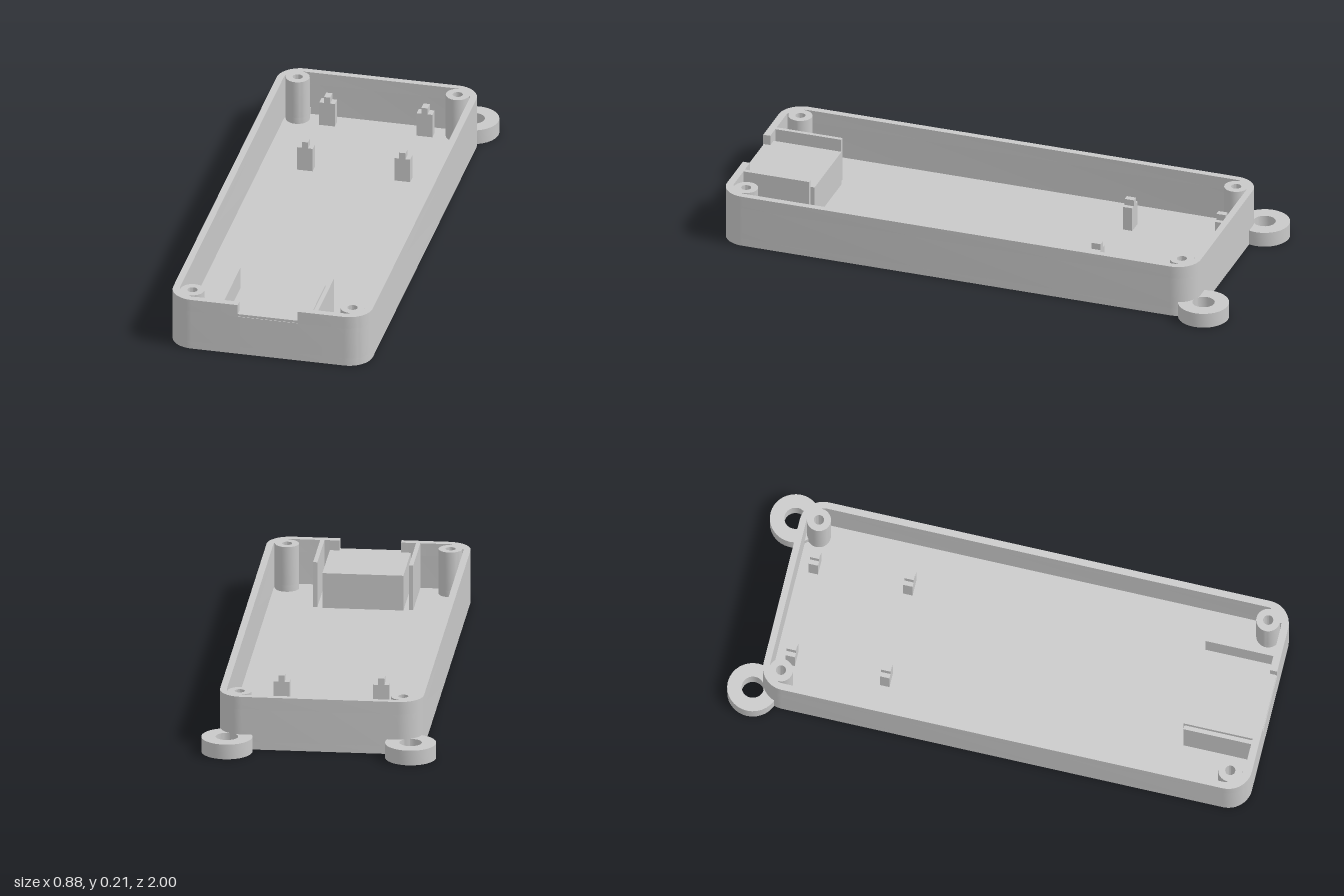
import * as THREE from 'three';
import { toCreasedNormals } from 'three/addons/utils/BufferGeometryUtils.js';

const TOP = 0.206, FLOOR = 0.03, NOTCH_Y = 0.157, NOTCH_X = 0.115, BLOCK_Y = 0.167;
const grey = new THREE.MeshStandardMaterial({ color: 0xc8c8c8 });
grey.name = 'grey plastic';

// Rounded counter-clockwise outline in x/z, with an optional gap in the front edge
function outline(hw, z0, z1, r, gap = 0) {
  const pts = [new THREE.Vector2(gap, z1)];
  const corners = [[1, z1 - r, 90], [1, z0 + r, 0], [-1, z0 + r, -90], [-1, z1 - r, -180]];
  for (const [s, cz, start] of corners) {
    for (let i = 0; i <= 14; i++) {
      const a = THREE.MathUtils.degToRad(start - (90 * i) / 14);
      pts.push(new THREE.Vector2(s * (hw - r) + r * Math.cos(a), cz + r * Math.sin(a)));
    }
  }
  if (gap) pts.push(new THREE.Vector2(-gap, z1));
  return pts.reverse();
}
const outer = (gap) => outline(0.383, -0.875, 1, 0.09, gap);
const inner = (gap) => outline(0.357, -0.85, 0.972, 0.065, gap);

function hole(shape, x, z, r) {
  shape.holes.push(new THREE.Path().absarc(x, z, r, 0, Math.PI * 2, true));
}

export function createModel() {
  const model = new THREE.Group();
  model.name = 'enclosureBase';

  const add = (name, geometry) => {
    const mesh = new THREE.Mesh(geometry, grey);
    mesh.name = name;
    model.add(mesh);
  };
  // Extrude an x/z shape upward from y0 to y1
  const slab = (name, shape, y0, y1) => {
    const g = new THREE.ExtrudeGeometry(shape, { depth: y1 - y0, bevelEnabled: false, curveSegments: 16 });
    g.rotateX(Math.PI / 2).translate(0, y1, 0);
    add(name, toCreasedNormals(g, 0.6));
  };
  const box = (name, x0, x1, y0, y1, z0, z1) => {
    const g = new THREE.BoxGeometry(x1 - x0, y1 - y0, z1 - z0);
    add(name, g.translate((x0 + x1) / 2, (y0 + y1) / 2, (z0 + z1) / 2));
  };

  const posts = [];
  for (const sx of [1, -1]) posts.push([sx * 0.307, -0.805, sx, -1], [sx * 0.307, 0.92, sx, 1]);

  // Floor with screw-head recesses
  const floor = new THREE.Shape(outer());
  for (const [x, z] of posts) hole(floor, x, z, 0.034);
  slab('floor', floor, 0, FLOOR);

  // Side wall, whole below the notch and open at the front above it
  const wall = new THREE.Shape(outer());
  wall.holes.push(new THREE.Path(inner()));
  slab('lowerWall', wall, FLOOR, NOTCH_Y);
  slab('upperWall', new THREE.Shape([...outer(NOTCH_X), ...inner(NOTCH_X).reverse()]), NOTCH_Y, TOP);

  // Corner screw posts, round inward and merged with the wall outward
  for (const [x, z, sx, sz] of posts) {
    const postShape = (r) => {
      const pts = [[0.052, 0], [0.052, 0.02], [0.02, 0.052], [0, 0.052]];
      for (let i = 0; i <= 24; i++) {
        const a = Math.PI * (0.5 + (1.5 * i) / 24);
        pts.push([0.045 * Math.cos(a), 0.045 * Math.sin(a)]);
      }
      if (sx * sz < 0) pts.reverse(); // keep mirrored posts counter-clockwise
      const shape = new THREE.Shape(pts.map(([u, v]) => new THREE.Vector2(x + sx * u, z + sz * v)));
      hole(shape, x, z, r);
      return shape;
    };
    slab('screwPostBase', postShape(0.034), FLOOR, 0.055);
    slab('screwPost', postShape(0.019), 0.055, TOP);
  }

  for (const s of [1, -1]) {
    // Mounting lugs at the back corners
    const lug = new THREE.Shape().absarc(s * 0.345, -0.904, 0.096, 0, Math.PI * 2);
    hole(lug, s * 0.345, -0.904, 0.042);
    slab('mountingLug', lug, 0, 0.058);

    // Board pegs with a narrow locating tip
    for (const z of [-0.791, -0.428]) {
      const x = s * 0.187;
      box('boardPeg', x - 0.03, x + 0.03, FLOOR, 0.125, z - 0.018, z + 0.018);
      box('boardPegTip', x - 0.012, x + 0.012, 0.125, 0.15, z - 0.018, z + 0.018);
    }

    // Guide walls beside the connector block
    const gx = s * 0.18;
    box('guideWall', gx - 0.008, gx + 0.008, FLOOR, TOP, 0.712, 0.975);
  }

  // Connector support block, with a sill reaching into the notch
  box('connectorBlock', -0.152, 0.152, FLOOR, BLOCK_Y, 0.703, 0.972);
  box('connectorSill', -NOTCH_X, NOTCH_X, NOTCH_Y, BLOCK_Y, 0.972, 0.998);

  return model;
}
